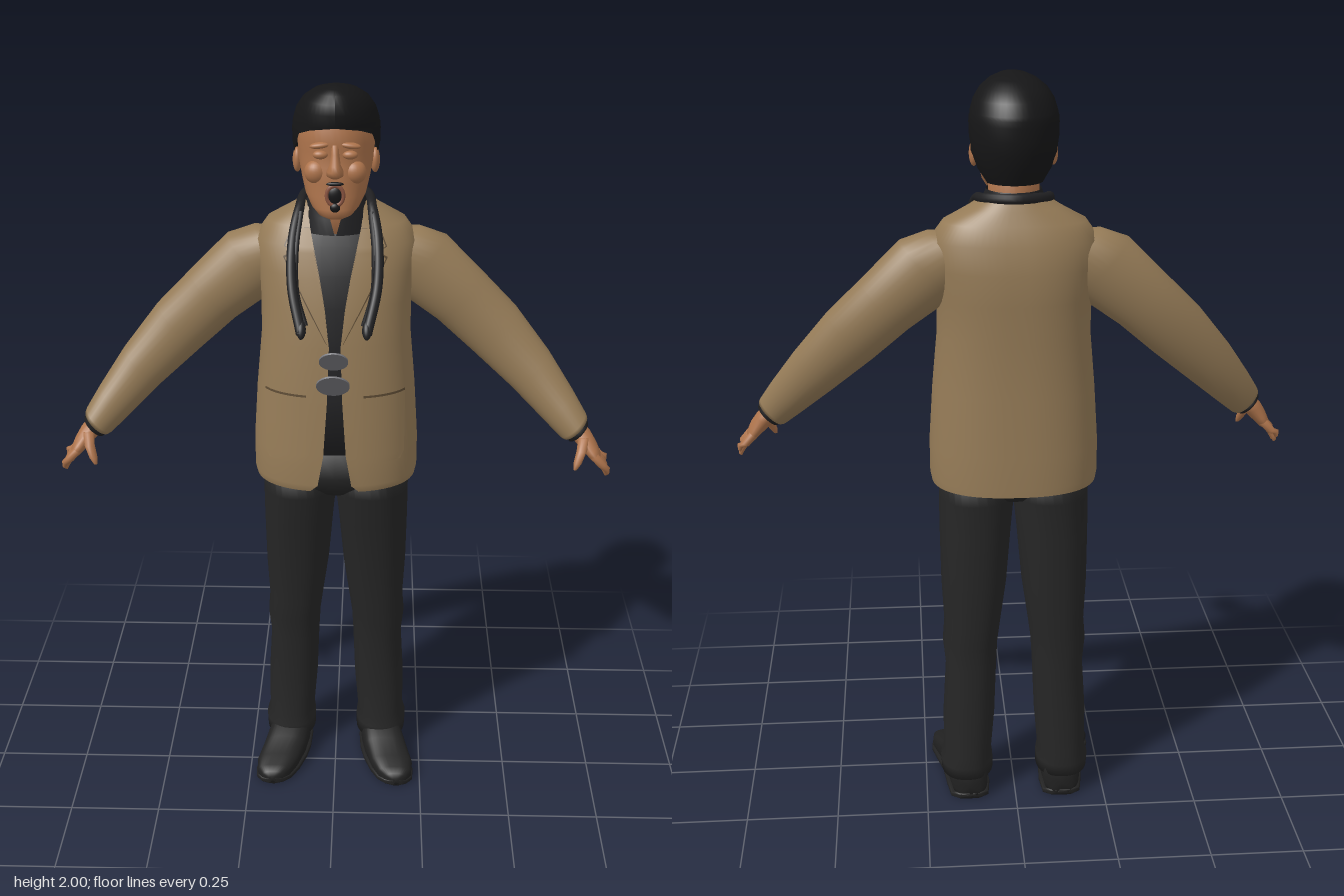
import * as THREE from 'three';

const mat = (name, color, side = THREE.FrontSide) => {
  const m = new THREE.MeshStandardMaterial({ color, side });
  m.name = name;
  return m;
};
const X = new THREE.Vector3(1, 0, 0), Y = new THREE.Vector3(0, 1, 0), Z = new THREE.Vector3(0, 0, 1);

// Skin a list of rings [x, y, z, radiusU, radiusV, frontGapAngle]; e is the superellipse exponent
function loft(rings, { u = X, v = Z, n = 32, e = 2 } = {}) {
  const open = rings.some(r => r[5] > 0), w = open ? n + 1 : n;
  const pos = [], idx = [], mid = new THREE.Vector3();
  const pw = t => Math.sign(t) * Math.abs(t) ** (2 / e);
  for (const [x, y, z, a, b, gap = 0] of rings) {
    mid.add(new THREE.Vector3(x, y, z).divideScalar(rings.length));
    for (let i = 0; i < w; i++) {
      const t = gap + (i / n) * (2 * Math.PI - 2 * gap);
      const p = new THREE.Vector3(x, y, z).addScaledVector(u, a * pw(Math.sin(t))).addScaledVector(v, b * pw(Math.cos(t)));
      pos.push(p.x, p.y, p.z);
    }
  }
  for (let j = 0; j < rings.length - 1; j++) for (let i = 0; i < n; i++) {
    const k = (i + 1) % w, a = j * w + i, b = j * w + k;
    idx.push(a, b, a + w, b, b + w, a + w);
  }
  if (!open) for (const [j, flip] of [[0, true], [rings.length - 1, false]]) {
    const c = pos.length / 3;
    pos.push(...rings[j].slice(0, 3));
    for (let i = 0; i < n; i++) {
      const a = j * w + i, b = j * w + (i + 1) % n;
      flip ? idx.push(b, a, c) : idx.push(a, b, c);
    }
  }
  // Turn the faces outward by the sign of the enclosed volume
  const P = i => new THREE.Vector3().fromArray(pos, i * 3).sub(mid);
  let vol = 0;
  for (let i = 0; i < idx.length; i += 3) vol += P(idx[i]).dot(P(idx[i + 1]).cross(P(idx[i + 2])));
  if (vol < 0) idx.reverse();
  const g = new THREE.BufferGeometry();
  g.setAttribute('position', new THREE.Float32BufferAttribute(pos, 3));
  g.setIndex(idx);
  g.computeVertexNormals();
  return g;
}
// Horizontal ring from its x range and its front and back z
const slab = (y, x0, x1, zf, zb, gap = 0) => [(x0 + x1) / 2, y, (zf + zb) / 2, (x1 - x0) / 2, (zf - zb) / 2, gap];

// Jacket profile: y, half width, front z, back z, half opening
const E = 2.4;
const COAT = [
  [0.945, 0.218, 0.088, -0.25, 0.065], [0.965, 0.222, 0.094, -0.25, 0.045], [1.05, 0.222, 0.09, -0.248, 0.03],
  [1.2, 0.212, 0.08, -0.24, 0.02], [1.35, 0.198, 0.065, -0.238, 0.015], [1.45, 0.198, 0.05, -0.245, 0.026],
  [1.53, 0.208, 0.03, -0.245, 0.04], [1.6, 0.212, 0.005, -0.235, 0.055], [1.645, 0.18, -0.02, -0.215, 0.065],
  [1.68, 0.115, -0.035, -0.2, 0.07], [1.7, 0.085, -0.045, -0.19, 0.06],
];
// Front surface of the jacket at x, y
function coatZ(x, y) {
  let j = 0;
  while (j < COAT.length - 2 && COAT[j + 1][0] < y) j++;
  const t = (y - COAT[j][0]) / (COAT[j + 1][0] - COAT[j][0]);
  const [rx, zf, zb] = [1, 2, 3].map(k => THREE.MathUtils.lerp(COAT[j][k], COAT[j + 1][k], t));
  return (zf + zb) / 2 + (zf - zb) / 2 * Math.max(0, 1 - Math.min(1, Math.abs(x) / rx) ** E) ** (1 / E);
}
// Thin cloth patch on the jacket front; rows are [y, innerX, outerX]
function patch(rows, s, lift) {
  const n = 8, pos = [], idx = [];
  rows.forEach(([y, a, b], j) => {
    for (let i = 0; i <= n; i++) {
      const x = THREE.MathUtils.lerp(a, b, i / n);
      pos.push(s * x, y, coatZ(x, y) + lift);
      if (j && i) {
        const q = j * (n + 1) + i, p = q - n - 1;
        s > 0 ? idx.push(p - 1, q, q - 1, p - 1, p, q) : idx.push(p - 1, q - 1, q, p - 1, q, p);
      }
    }
  });
  const g = new THREE.BufferGeometry();
  g.setAttribute('position', new THREE.Float32BufferAttribute(pos, 3));
  g.setIndex(idx);
  g.computeVertexNormals();
  return g;
}

export function createModel() {
  const root = new THREE.Group();
  const tan = mat('tan jacket', 0x957b57, THREE.DoubleSide), trim = mat('dark tan trim', 0x5c4a33, THREE.DoubleSide);
  const skin = mat('skin', 0xae744c), lip = mat('lips', 0x8a5440);
  const cloth = mat('black trousers', 0x262626), shirtM = mat('black shirt', 0x202022, THREE.DoubleSide);
  const hairM = mat('black hair', 0x161617, THREE.DoubleSide), shoeM = mat('black shoes', 0x212121);
  const grey = mat('grey discs', 0x77777c);
  const add = (name, g, m) => {
    const o = new THREE.Mesh(g, m);
    o.name = name;
    root.add(o);
    return o;
  };
  const ball = (name, m, x, y, z, rx, ry, rz) => {
    const o = add(name, new THREE.SphereGeometry(1, 24, 16), m);
    o.position.set(x, y, z);
    o.scale.set(rx, ry, rz);
    return o;
  };

  // Jacket body, open at the front, over the shirt
  add('jacket', loft(COAT.map(([y, w, f, b, g]) => slab(y, -w, w, f, b, Math.asin((g / w) ** (E / 2)))), { n: 64, e: E }), tan);
  add('shirt', loft(COAT.slice(2).map(([y, w, f, b]) => slab(y, -w + 0.014, w - 0.014, f - 0.01, b + 0.014)), { n: 48, e: E }), shirtM);
  add('shirtCollar', loft([
    slab(1.63, -0.1, 0.1, 0.0, -0.19, 0.02), slab(1.67, -0.088, 0.088, -0.005, -0.185, 0.15),
    slab(1.7, -0.078, 0.078, -0.015, -0.175, 0.6), slab(1.72, -0.07, 0.07, -0.02, -0.168, 1.1),
  ]), shirtM);
  add('hips', loft([
    slab(0.9, -0.06, 0.06, 0.02, -0.17), slab(0.93, -0.14, 0.14, 0.05, -0.195),
    slab(0.97, -0.195, 0.195, 0.068, -0.21), slab(1.07, -0.195, 0.195, 0.072, -0.22),
  ], { e: E }), cloth);

  for (const s of [1, -1]) {
    const side = s > 0 ? 'left' : 'right';
    const flip = rings => rings.map(([x, ...r]) => [s * x, ...r]);

    // Lapel and pocket
    add(side + 'LapelEdge', patch([[1.36, 0.016, 0.022], [1.45, 0.027, 0.07], [1.53, 0.041, 0.112], [1.575, 0.05, 0.134],
      [1.59, 0.054, 0.109], [1.6, 0.056, 0.132], [1.645, 0.066, 0.113]], s, 0.004), trim);
    add(side + 'Lapel', patch([[1.36, 0.016, 0.02], [1.45, 0.027, 0.066], [1.53, 0.041, 0.108], [1.573, 0.05, 0.129],
      [1.588, 0.054, 0.104], [1.602, 0.056, 0.128], [1.645, 0.066, 0.109]], s, 0.007), tan);
    add(side + 'PocketSeam', patch([[1.215, 0.075, 0.185], [1.221, 0.075, 0.185]], s, 0.004), trim);
    add(side + 'Pocket', patch([[1.03, 0.085, 0.175], [1.05, 0.075, 0.185], [1.13, 0.075, 0.185], [1.215, 0.075, 0.185]], s, 0.005), tan);

    // Sleeve and cuff
    const across = new THREE.Vector3(s * 0.69, 0.72, 0);
    add(side + 'Sleeve', loft(flip([
      [0.1, 1.575, -0.12, 0.06, 0.06], [0.16, 1.56, -0.122, 0.07, 0.085], [0.22, 1.525, -0.122, 0.074, 0.1],
      [0.33, 1.432, -0.118, 0.07, 0.088], [0.42, 1.348, -0.105, 0.062, 0.084], [0.52, 1.245, -0.072, 0.057, 0.07],
      [0.595, 1.16, -0.028, 0.054, 0.056], [0.635, 1.113, -0.002, 0.05, 0.047], [0.642, 1.106, 0.003, 0.046, 0.043],
    ]), { u: Z, v: across }), tan);
    add(side + 'ShirtCuff', loft(flip([[0.63, 1.118, 0, 0.04, 0.037], [0.65, 1.097, 0.007, 0.04, 0.036]]), { u: Z, v: across }), shirtM);

    // Hand with four fingers and a thumb
    const palmV = new THREE.Vector3(s * 0.83, 0.55, 0), finger = { u: Z, v: palmV, n: 12 };
    add(side + 'Palm', loft(flip([
      [0.635, 1.115, 0, 0.03, 0.026], [0.662, 1.085, 0.012, 0.034, 0.025], [0.682, 1.06, 0.024, 0.047, 0.021],
      [0.697, 1.038, 0.027, 0.046, 0.016], [0.701, 1.031, 0.027, 0.04, 0.008],
    ]), { u: Z, v: palmV, n: 20 }), skin);
    [[0.062, 0.995], [0.038, 0.982], [0.014, 0.985], [-0.009, 1.004]].forEach(([z, tip], i) =>
      add(side + 'Finger' + (i + 1), loft(flip([
        [0.69, 1.048, z, 0.012, 0.012], [0.713, 1.022, z, 0.0115, 0.011],
        [0.727, tip + 0.014, z * 0.95, 0.01, 0.009], [0.73, tip, z * 0.93, 0.005, 0.005],
      ]), finger), skin));
    add(side + 'Thumb', loft(flip([
      [0.662, 1.092, 0.035, 0.014, 0.016], [0.656, 1.065, 0.062, 0.014, 0.014],
      [0.645, 1.035, 0.077, 0.011, 0.011], [0.639, 1.018, 0.082, 0.005, 0.005],
    ]), { n: 12, u: X }), skin);

    // Trouser leg
    add(side + 'TrouserLeg', loft(flip([
      slab(0.065, 0.062, 0.206, -0.02, -0.198), slab(0.1, 0.062, 0.208, -0.022, -0.202), slab(0.13, 0.066, 0.199, -0.03, -0.198),
      slab(0.25, 0.056, 0.199, -0.034, -0.197), slab(0.4, 0.05, 0.19, -0.03, -0.19), slab(0.47, 0.046, 0.197, -0.018, -0.193),
      slab(0.53, 0.038, 0.192, -0.012, -0.195), slab(0.65, 0.021, 0.198, 0.004, -0.2), slab(0.8, 0.008, 0.2, 0.03, -0.202),
      slab(0.9, -0.002, 0.2, 0.05, -0.203), slab(1.0, -0.002, 0.198, 0.066, -0.212),
    ]), { e: 2.3 }), cloth);

    // Shoe and sole, toe turned outward: z, centre x, half width, height
    const foot = [[-0.192, 0.13, 0.03, 0.07], [-0.18, 0.13, 0.05, 0.1], [-0.12, 0.132, 0.058, 0.115], [-0.05, 0.138, 0.06, 0.105],
      [0, 0.15, 0.062, 0.078], [0.06, 0.168, 0.06, 0.056], [0.1, 0.177, 0.048, 0.046], [0.117, 0.18, 0.03, 0.034], [0.123, 0.181, 0.01, 0.02]];
    add(side + 'Shoe', loft(foot.map(([z, x, w, h]) => [s * x, h / 2 + 0.004, z, w, h / 2]), { v: Y, e: 2.8 }), shoeM);
    add(side + 'Sole', loft(foot.map(([z, x, w]) => [s * x, 0.009, z, w + 0.003, 0.009]), { v: Y, e: 4 }), shoeM);

    // Strands hanging from the neck band
    const strand = new THREE.CatmullRomCurve3([[0.09, 1.68, -0.04], [0.1, 1.6, 0.022], [0.098, 1.5, 0.062], [0.075, 1.42, 0.09]]
      .map(([x, y, z]) => new THREE.Vector3(s * x, y, z)));
    add(side + 'InnerStrand', new THREE.TubeGeometry(strand, 20, 0.008, 8), shirtM);
    ball(side + 'StrandTip', shirtM, s * 0.083, 1.425, 0.13, 0.012, 0.026, 0.013).rotation.x = -0.6;

    // Ear and closed eye
    ball(side + 'Ear', skin, s * 0.099, 1.805, -0.085, 0.012, 0.032, 0.02);
    ball(side + 'Eyelid', skin, s * 0.037, 1.842, 0.014, 0.019, 0.011, 0.012);
    ball(side + 'Brow', skin, s * 0.038, 1.866, 0.016, 0.026, 0.008, 0.012).rotation.z = -s * 0.12;
    ball(side + 'Cheek', skin, s * 0.048, 1.795, -0.002, 0.03, 0.03, 0.026);
  }

  // Band around the back of the neck
  const half = [[0.083, 1.415, 0.135], [0.108, 1.52, 0.07], [0.108, 1.62, 0.005], [0.093, 1.685, -0.06], [0.075, 1.705, -0.15]];
  const band = [...half.map(([x, y, z]) => [-x, y, z]), [0, 1.71, -0.192], ...half.slice().reverse()];
  add('neckBand', new THREE.TubeGeometry(new THREE.CatmullRomCurve3(band.map(p => new THREE.Vector3(...p))), 80, 0.013, 10), shirtM);

  // Neck and head
  add('neck', loft([slab(1.62, -0.07, 0.07, -0.02, -0.17), slab(1.69, -0.064, 0.064, -0.025, -0.16), slab(1.8, -0.066, 0.066, -0.03, -0.17)]), skin);
  add('head', loft([
    slab(1.678, -0.022, 0.022, 0.018, -0.02), slab(1.686, -0.042, 0.042, 0.028, -0.045), slab(1.705, -0.06, 0.06, 0.033, -0.075),
    slab(1.735, -0.077, 0.077, 0.025, -0.12), slab(1.77, -0.086, 0.086, 0.028, -0.16), slab(1.81, -0.094, 0.094, 0.023, -0.185),
    slab(1.842, -0.097, 0.097, 0.016, -0.195), slab(1.866, -0.099, 0.099, 0.024, -0.2), slab(1.91, -0.097, 0.097, 0.018, -0.2),
    slab(1.95, -0.075, 0.075, 0.0, -0.17), slab(1.97, -0.03, 0.03, -0.04, -0.12),
  ], { e: 2.15, n: 40 }), skin);
  add('nose', loft([
    slab(1.787, -0.012, 0.012, 0.04, 0), slab(1.793, -0.021, 0.021, 0.053, 0), slab(1.806, -0.021, 0.021, 0.06, 0),
    slab(1.82, -0.014, 0.014, 0.052, 0), slab(1.845, -0.01, 0.01, 0.034, 0), slab(1.868, -0.01, 0.01, 0.026, 0),
  ], { n: 16 }), skin);

  // Open mouth with lips and a small beard
  ball('mouth', hairM, 0, 1.742, 0.025, 0.02, 0.024, 0.01);
  const lips = add('lips', new THREE.TorusGeometry(0.021, 0.005, 8, 24), lip);
  lips.position.set(0, 1.743, 0.029);
  lips.scale.set(1, 1.2, 1);
  ball('chinBeard', hairM, 0, 1.712, 0.03, 0.013, 0.012, 0.008);
  ball('moustache', hairM, 0, 1.773, 0.031, 0.022, 0.005, 0.006);

  // Hair cap, cut away around the face
  add('hair', loft([
    slab(1.74, -0.075, 0.075, -0.02, -0.182, 2.0), slab(1.775, -0.094, 0.094, 0, -0.2, 1.8), slab(1.815, -0.107, 0.107, 0.015, -0.215, 1.5),
    slab(1.85, -0.111, 0.111, 0.02, -0.222, 1.15), slab(1.885, -0.112, 0.112, 0.025, -0.223, 0.95), slab(1.9, -0.111, 0.111, 0.028, -0.222, 0.6),
    slab(1.91, -0.109, 0.109, 0.029, -0.22, 0), slab(1.94, -0.1, 0.1, 0.03, -0.208), slab(1.966, -0.083, 0.083, 0.027, -0.185),
    slab(1.985, -0.058, 0.058, 0.014, -0.145), slab(1.996, -0.03, 0.03, -0.01, -0.095), slab(2.0, -0.001, 0.001, -0.04, -0.042),
  ], { n: 48 }), hairM);

  // Two tilted discs floating before the chest
  for (const [y, z, r] of [[1.355, 0.17, 0.037], [1.312, 0.225, 0.042]]) {
    const disc = add('floatingDisc', new THREE.CylinderGeometry(r, r, 0.005, 32), grey);
    disc.position.set(0, y, z);
    disc.rotation.x = -0.96;
  }
  return root;
}
